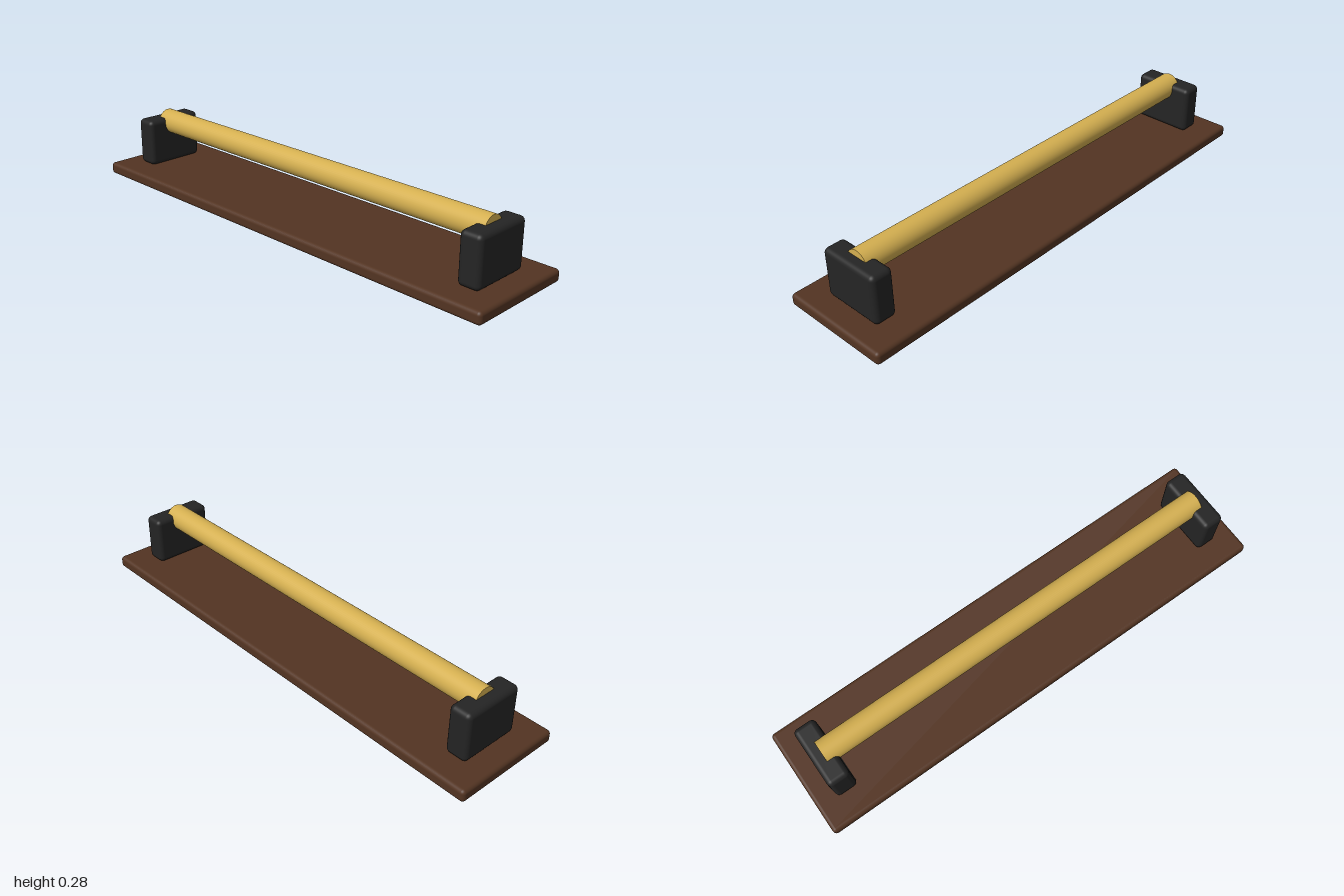
import * as THREE from 'three';
import { RoundedBoxGeometry } from 'three/addons/geometries/RoundedBoxGeometry.js';

const material = (name, color) => {
  const m = new THREE.MeshStandardMaterial({ color });
  m.name = name;
  return m;
};

export function createModel() {
  const wood = material('dark wood', 0x533422);
  const black = material('black', 0x242424);
  const brass = material('brass', 0xd4af50);
  const model = new THREE.Group();
  model.name = 'barOnStand';

  const add = (name, geometry, mat, x, y) => {
    const mesh = new THREE.Mesh(geometry, mat);
    mesh.name = name;
    mesh.position.set(x, y, 0);
    model.add(mesh);
    return mesh;
  };

  // Wooden base board
  add('base', new RoundedBoxGeometry(2, 0.05, 0.46, 4, 0.015), wood, 0, 0.025);

  // Support blocks at both ends
  const block = new RoundedBoxGeometry(0.09, 0.2, 0.256, 4, 0.02);
  add('leftSupport', block, black, 0.87, 0.15);
  add('rightSupport', block, black, -0.87, 0.15);

  // Round bar sunk into the tops of the supports
  const bar = add('bar', new THREE.CylinderGeometry(0.05, 0.05, 1.74, 48), brass, 0, 0.227);
  bar.rotation.z = Math.PI / 2;

  return model;
}
